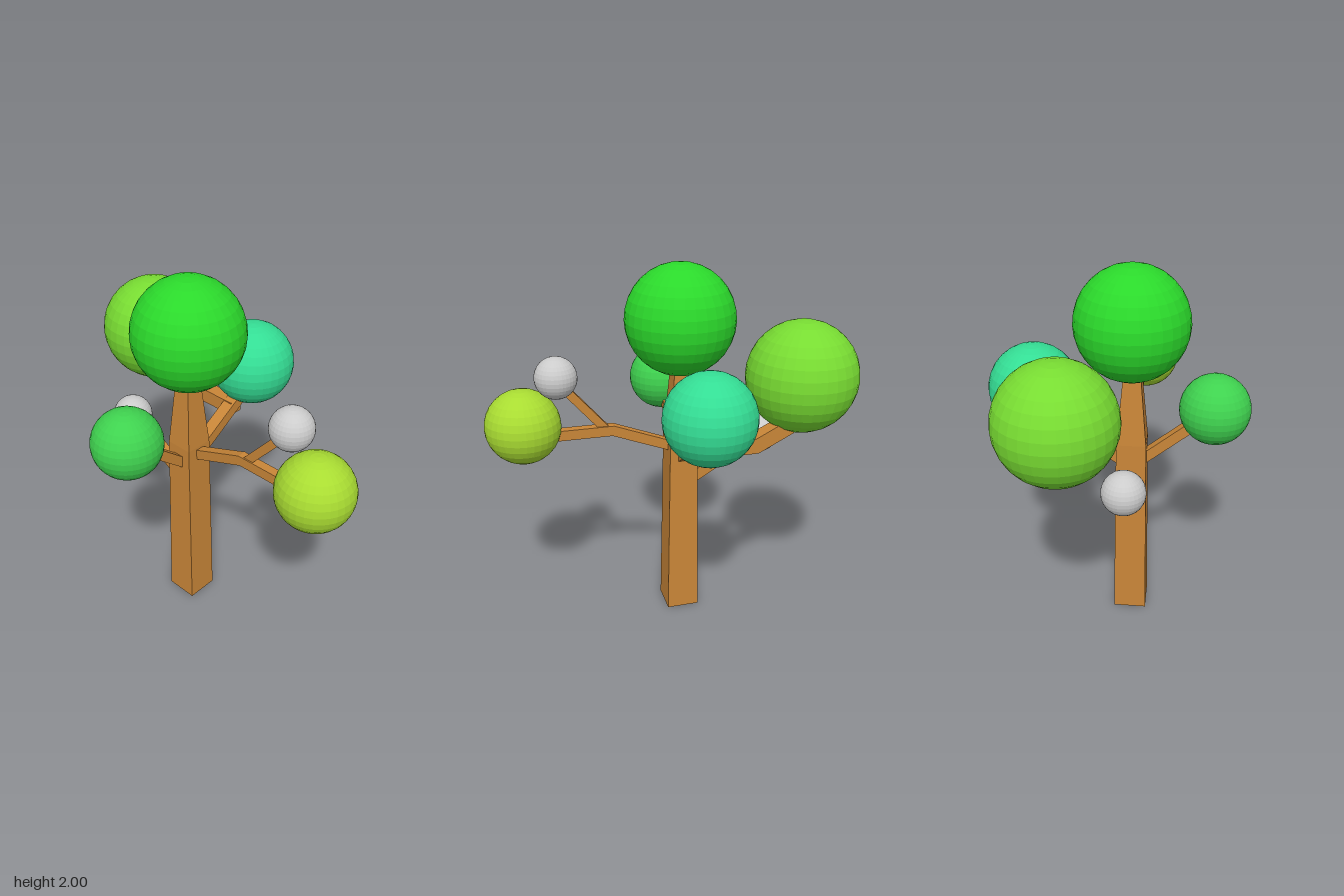
import * as THREE from 'three';

const V = (x, y, z) => new THREE.Vector3(x, y, z);
const material = (color) => new THREE.MeshStandardMaterial({ color, flatShading: true });

// Square-sectioned beam with mitred bends. nodes: [x, y, z, width, height];
// side is the horizontal direction across the beam, along which width is measured.
function beam(name, nodes, side, mat) {
  const pts = nodes.map((n) => V(n[0], n[1], n[2]));
  const pos = [], index = [];
  const last = pts.length - 1;
  pts.forEach((p, k) => {
    const before = p.clone().sub(pts[Math.max(k - 1, 0)]).normalize();
    const after = pts[Math.min(k + 1, last)].clone().sub(p).normalize();
    const dir = before.clone().add(after).normalize();
    const mitre = k > 0 && k < last ? 1 / dir.dot(after) : 1;
    const up = dir.clone().cross(side);
    const [w, h] = nodes[k].slice(3);
    for (const [a, b] of [[-1, -1], [1, -1], [1, 1], [-1, 1]]) {
      const c = p.clone().addScaledVector(side, a * w / 2).addScaledVector(up, b * h * mitre / 2);
      pos.push(c.x, c.y, c.z);
    }
    if (k < last) {
      for (let i = 0; i < 4; i++) {
        const a = k * 4 + i, b = k * 4 + (i + 1) % 4;
        index.push(a, b, b + 4, a, b + 4, a + 4);
      }
    }
  });
  const e = last * 4;
  index.push(0, 3, 2, 0, 2, 1, e, e + 1, e + 2, e, e + 2, e + 3);
  const geo = new THREE.BufferGeometry();
  geo.setAttribute('position', new THREE.Float32BufferAttribute(pos, 3));
  geo.setIndex(index);
  geo.computeVertexNormals();
  const mesh = new THREE.Mesh(geo, mat);
  mesh.name = name;
  return mesh;
}

export function createModel() {
  const tree = new THREE.Group();
  tree.name = 'tree';
  const wood = material(0xc98638);
  const X = V(1, 0, 0), Z = V(0, 0, 1);

  // Trunk: gentle taper to the fork, then a slimmer upper stem
  tree.add(beam('trunk', [
    [-0.095, 0, 0.065, 0.18, 0.18],
    [-0.095, 1.07, 0.065, 0.155, 0.15],
    [-0.095, 1.5, 0.065, 0.08, 0.08],
  ], Z, wood));

  // Branches in the side-to-side plane
  tree.add(beam('leftBranch', [
    [-0.06, 1.01, 0.06, 0.05, 0.055],
    [0.28, 1.14, 0.06, 0.05, 0.055],
    [0.65, 1.14, 0.06, 0.05, 0.055],
  ], Z, wood));
  tree.add(beam('leftTwig', [
    [0.31, 1.14, 0.06, 0.035, 0.045],
    [0.55, 1.42, 0.06, 0.035, 0.045],
  ], Z, wood));
  tree.add(beam('rightLowerBranch', [
    [-0.13, 0.79, 0.06, 0.05, 0.065],
    [-0.5, 1.01, 0.06, 0.05, 0.065],
  ], Z, wood));

  // Branches in the front-to-back plane
  tree.add(beam('frontBranch', [
    [-0.097, 0.93, 0.08, 0.055, 0.055],
    [-0.097, 1.21, 0.42, 0.055, 0.055],
  ], X, wood));
  tree.add(beam('backBranch', [
    [-0.1, 0.95, 0.03, 0.07, 0.06],
    [-0.1, 1.23, -0.41, 0.07, 0.06],
  ], X, wood));

  // Bent branch growing sideways from the back branch
  tree.add(beam('rightUpperBranch', [
    [-0.08, 1.13, -0.29, 0.08, 0.08],
    [-0.39, 1.13, -0.29, 0.08, 0.08],
    [-0.57, 1.22, -0.29, 0.08, 0.08],
  ], Z, wood));

  // Foliage balls: name, x, y, z, radius, colour
  const balls = [
    ['topFoliage', -0.09, 1.71, 0.06, 0.29, 0x2bd92b],
    ['rightFoliage', -0.655, 1.45, -0.228, 0.29, 0x78dc32],
    ['backFoliage', -0.098, 1.35, -0.438, 0.232, 0x34dd94],
    ['frontFoliage', -0.098, 1.27, 0.486, 0.183, 0x3fd24f],
    ['leftFoliage', 0.745, 1.2, 0.077, 0.197, 0xa9dc32],
    ['leftBud', 0.565, 1.455, 0.05, 0.11, 0xcccccc],
    ['rightBud', -0.553, 1.035, 0.062, 0.11, 0xcccccc],
  ];
  for (const [name, x, y, z, r, color] of balls) {
    const ball = new THREE.Mesh(new THREE.SphereGeometry(r, 32, 16), material(color));
    ball.name = name;
    ball.position.set(x, y, z);
    tree.add(ball);
  }
  return tree;
}
